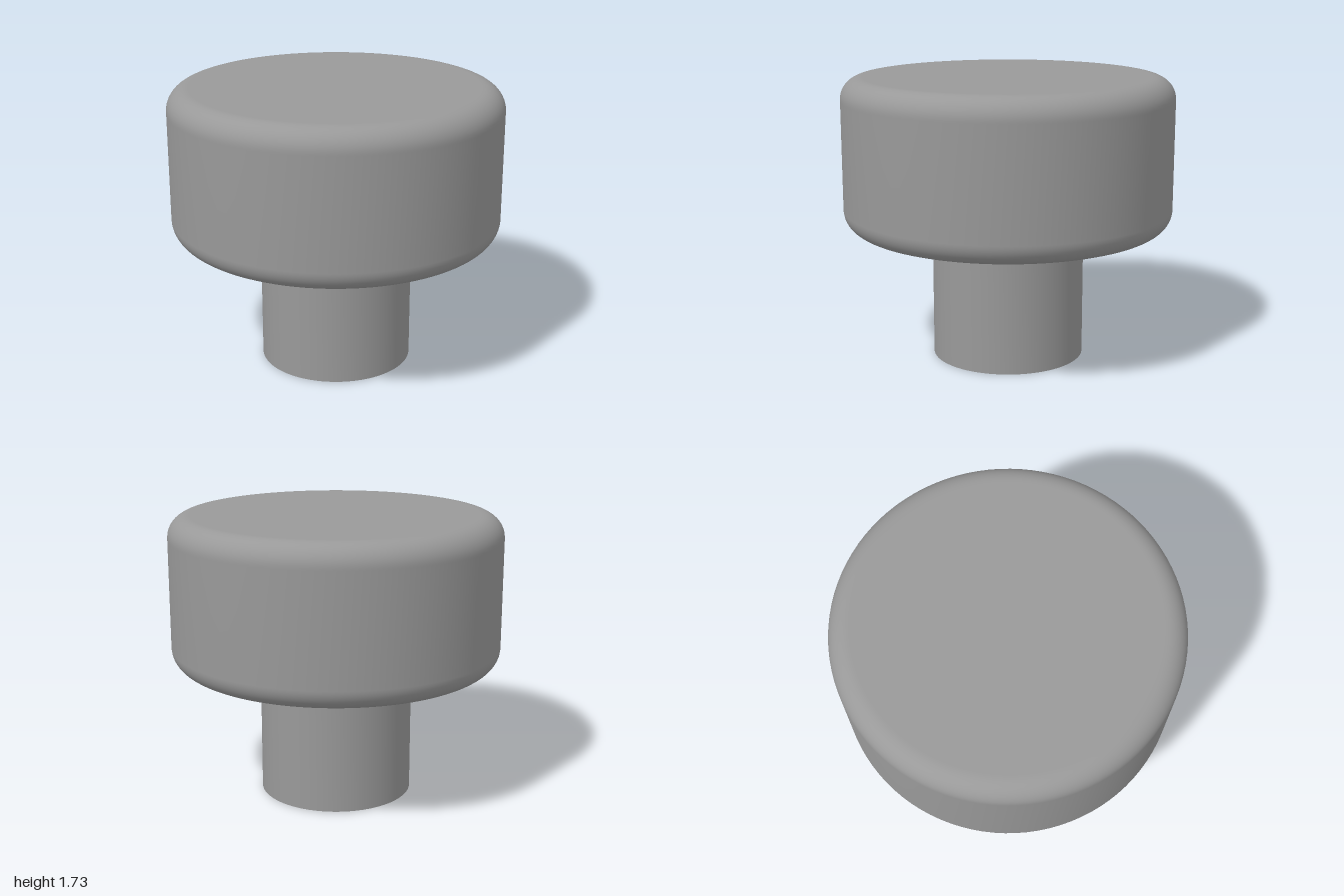
import * as THREE from 'three';
import { toCreasedNormals } from 'three/addons/utils/BufferGeometryUtils.js';

const SEGMENTS = 96;

// Revolve a [radius, height] profile around y, keeping hard corners sharp
function revolve(name, profile, material) {
  const points = profile.map(([r, y]) => new THREE.Vector2(r, y));
  const geometry = toCreasedNormals(new THREE.LatheGeometry(points, SEGMENTS), Math.PI / 6);
  const mesh = new THREE.Mesh(geometry, material);
  mesh.name = name;
  return mesh;
}

// Quarter-circle fillet points, from angle a0 over 90 degrees
function fillet(cx, cy, r, a0, steps = 12) {
  return Array.from({ length: steps + 1 }, (_, i) => {
    const a = a0 + (i / steps) * Math.PI / 2;
    return [cx + r * Math.cos(a), cy + r * Math.sin(a)];
  });
}

export function createModel() {
  const group = new THREE.Group();
  group.name = 'knob';
  const grey = new THREE.MeshStandardMaterial({ color: 0x999999 });
  grey.name = 'grey';

  // Round head with filleted rims; the extra rings keep its flats evenly shaded
  const bottom = 0.8, top = 1.725, radius = 1, round = 0.13;
  const inner = radius - round;
  group.add(revolve('head', [
    [0, bottom], [inner - 0.01, bottom],
    ...fillet(inner, bottom + round, round, -Math.PI / 2),
    [radius, bottom + round + 0.01], [radius, top - round - 0.01],
    ...fillet(inner, top - round, round, 0),
    [inner - 0.01, top], [0, top],
  ], grey));

  // Hollow stem, open at the foot and closed above by the head
  const outerRadius = 0.463, boreRadius = 0.34;
  group.add(revolve('stem', [
    [boreRadius, bottom], [boreRadius, 0], [outerRadius, 0], [outerRadius, bottom],
  ], grey));

  return group;
}
